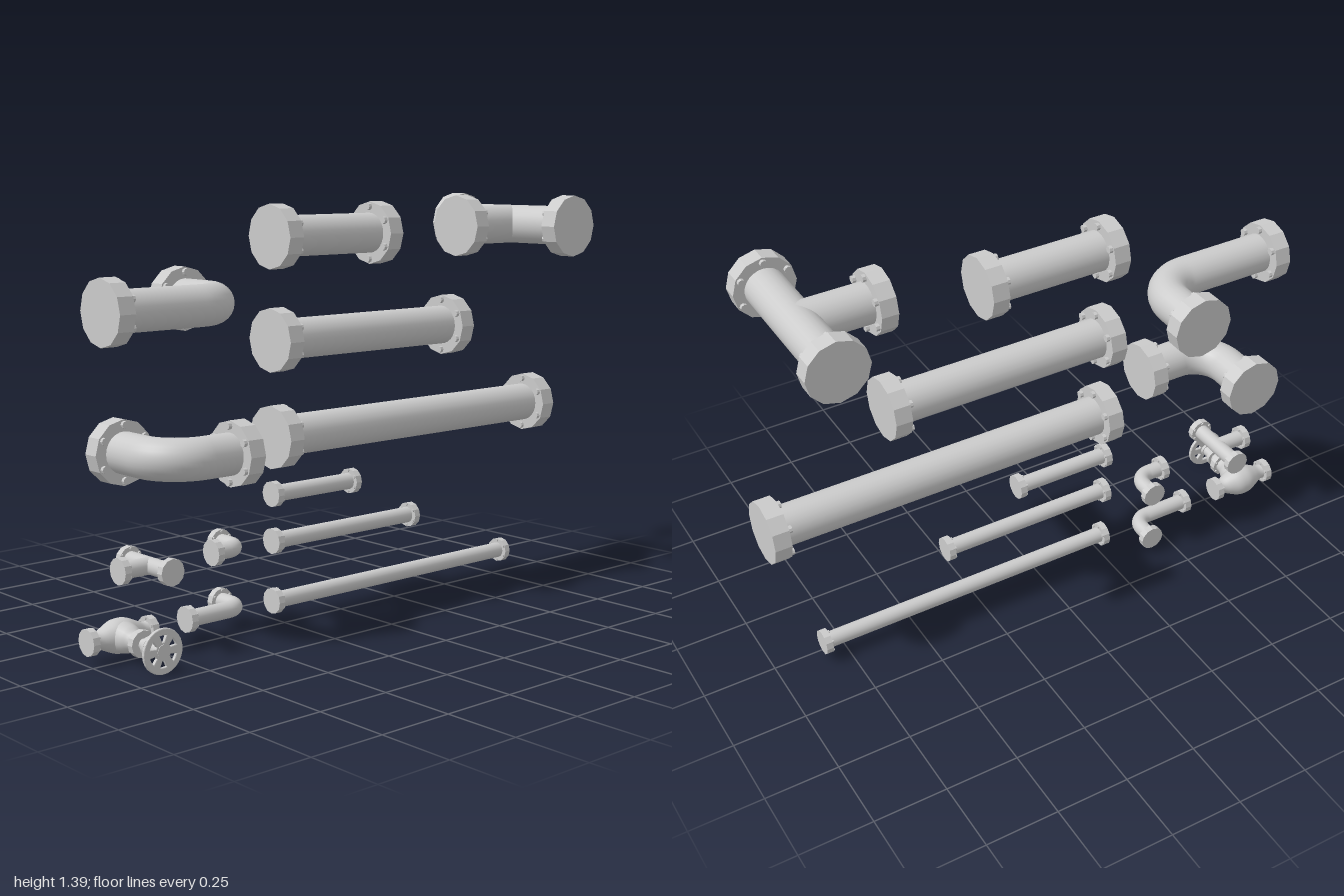
import * as THREE from 'three';

const material = new THREE.MeshStandardMaterial({ color: 0xcccccc });
const flatMaterial = new THREE.MeshStandardMaterial({ color: 0xcccccc, flatShading: true });
const V = (x, y, z) => new THREE.Vector3(x, y, z);

const SMALL = 0.41; // small fittings relative to the large ones
const PIPE_R = 0.067, FLANGE_R = 0.105, FLANGE_T = 0.057;
const BOLT_RING = 0.088, BOLT_R = 0.012, BOLT_T = 0.012;

function add(parent, name, geometry, mat = material) {
  const mesh = new THREE.Mesh(geometry, mat);
  mesh.name = name;
  parent.add(mesh);
  return mesh;
}

function group(parent, name) {
  const g = new THREE.Group();
  g.name = name;
  parent.add(g);
  return g;
}

// Faceted end flange whose outer face is at `end`, with six bolts on its inner face
function addFlange(parent, end, dir, s) {
  const g = group(parent, 'flange');
  const up = V(0, 1, 0);
  g.quaternion.setFromRotationMatrix(
    new THREE.Matrix4().makeBasis(dir.clone().cross(up), dir, up));
  g.position.copy(end);
  add(g, 'flangeDisc', new THREE.CylinderGeometry(FLANGE_R * s, FLANGE_R * s, FLANGE_T * s, 12), flatMaterial)
    .position.y = -FLANGE_T * s / 2;
  for (let i = 0; i < 6; i++) {
    const a = i * Math.PI / 3;
    add(g, 'bolt', new THREE.CylinderGeometry(BOLT_R * s, BOLT_R * s, BOLT_T * s, 8), flatMaterial)
      .position.set(Math.sin(a) * BOLT_RING * s, -(FLANGE_T + BOLT_T / 2) * s, Math.cos(a) * BOLT_RING * s);
  }
}

// Straight tube between two points
function addTube(parent, a, b, s) {
  add(parent, 'tube', new THREE.TubeGeometry(new THREE.LineCurve3(a, b), 1, PIPE_R * s, 24));
}

function straightPipe(parent, x0, x1, y, z, s) {
  const g = group(parent, 'straightPipe');
  const a = V(x0, y, z), b = V(x1, y, z);
  const inset = V(0.01 * s, 0, 0);
  addTube(g, a.clone().add(inset), b.clone().sub(inset), s);
  addFlange(g, a, V(-1, 0, 0), s);
  addFlange(g, b, V(1, 0, 0), s);
}

// Right-angle bend: one leg along x, the other towards the back
function elbow(parent, corner, legX, legZ, s) {
  const g = group(parent, 'elbowPipe');
  const dx = V(Math.sign(legX), 0, 0), dz = V(0, 0, -1);
  const on = (d, t) => corner.clone().addScaledVector(d, t);
  const endX = on(dx, Math.abs(legX)), endZ = on(dz, legZ);
  const r = 0.13 * s, k = r * (1 - 0.5523), inset = 0.01 * s;
  const path = new THREE.CurvePath();
  path.add(new THREE.LineCurve3(on(dx, Math.abs(legX) - inset), on(dx, r)));
  path.add(new THREE.CubicBezierCurve3(on(dx, r), on(dx, k), on(dz, k), on(dz, r)));
  path.add(new THREE.LineCurve3(on(dz, r), on(dz, legZ - inset)));
  add(g, 'bentTube', new THREE.TubeGeometry(path, 48, PIPE_R * s, 24));
  addFlange(g, endX, dx, s);
  addFlange(g, endZ, dz, s);
}

// Run along z with one branch towards -x
function tee(parent, centre, half, branch, s) {
  const g = group(parent, 'teePipe');
  const at = (x, z) => centre.clone().add(V(x, 0, z));
  const inset = 0.01 * s;
  addTube(g, at(0, -half + inset), at(0, half - inset), s);
  addTube(g, at(0, 0), at(-branch + inset, 0), s);
  addFlange(g, at(0, half), V(0, 0, 1), s);
  addFlange(g, at(0, -half), V(0, 0, -1), s);
  addFlange(g, at(-branch, 0), V(-1, 0, 0), s);
}

// Flat handwheel with a ring of openings between its spokes
function handwheelGeometry() {
  const shape = new THREE.Shape().absarc(0, 0, 0.068, 0, Math.PI * 2);
  for (let i = 0; i < 6; i++) {
    const a = i * Math.PI / 3 + Math.PI / 6;
    const hole = new THREE.Path();
    hole.absarc(0, 0, 0.052, a - 0.3, a + 0.3, false);
    hole.absarc(0, 0, 0.026, a + 0.2, a - 0.2, true);
    hole.closePath();
    shape.holes.push(hole);
  }
  return new THREE.ExtrudeGeometry(shape, {
    depth: 0.006, bevelEnabled: true, bevelSize: 0.003, bevelThickness: 0.003,
    bevelSegments: 2, curveSegments: 14,
  });
}

function valve(parent, x, y, z) {
  const g = group(parent, 'valve');
  g.position.set(x, y, z);
  const lathe = (pts) => new THREE.LatheGeometry(
    new THREE.SplineCurve(pts.map(p => new THREE.Vector2(...p))).getPoints(32), 24);

  // Bulging body along x
  add(g, 'body', lathe([[0.029, -0.112], [0.026, -0.085], [0.039, -0.055], [0.052, -0.025], [0.055, 0],
    [0.052, 0.025], [0.039, 0.055], [0.026, 0.085], [0.029, 0.112]])).rotation.z = -Math.PI / 2;
  addFlange(g, V(0.121, 0, 0), V(1, 0, 0), SMALL);
  addFlange(g, V(-0.121, 0, 0), V(-1, 0, 0), SMALL);

  // Bonnet towards the front
  add(g, 'bonnet', lathe([[0.05, 0], [0.049, 0.03], [0.042, 0.06], [0.031, 0.085], [0.029, 0.11]]))
    .rotation.x = Math.PI / 2;
  addFlange(g, V(0, 0, 0.127), V(0, 0, 1), SMALL);

  // Stem, collar, hub: [name, radius, start, end]
  for (const [name, r, z0, z1] of [['stem', 0.019, 0.12, 0.215], ['stemCollar', 0.032, 0.153, 0.167],
    ['wheelHub', 0.022, 0.205, 0.23]]) {
    const m = add(g, name, new THREE.CylinderGeometry(r, r, z1 - z0, 16));
    m.rotation.x = Math.PI / 2;
    m.position.z = (z0 + z1) / 2;
  }
  add(g, 'handwheel', handwheelGeometry()).position.z = 0.219;
}

export function createModel() {
  const model = new THREE.Group();
  model.name = 'pipeSet';
  const Z = -0.036;

  // Straight lengths: [right end, left end, height, scale]
  for (const [x0, x1, y, s] of [
    [-0.275, 0.219, 1.27, 1], [-0.275, 0.566, 0.937, 1], [-0.275, 0.997, 0.62, 1],
    [-0.275, 0.09, 0.432, SMALL], [-0.275, 0.368, 0.275, SMALL], [-0.275, 0.838, 0.073, SMALL],
  ]) straightPipe(model, x0, x1, y, Z, s);

  // Bends
  elbow(model, V(-0.436, 1.066, Z), -0.488, 0.293, 1);
  elbow(model, V(-0.783, 0.618, 0.106), 0.287, 0.293, 1);
  elbow(model, V(-0.405, 0.275, Z), -0.118, 0.121, SMALL);
  elbow(model, V(-0.405, 0.077, Z), -0.225, 0.121, SMALL);

  // Tees
  tee(model, V(0.788, 1.286, 0.036), 0.291, 0.286, 1);
  tee(model, V(-0.763, 0.275, Z + 0.002), 0.123, 0.118, SMALL);

  valve(model, -0.877, 0.074, Z);
  return model;
}
